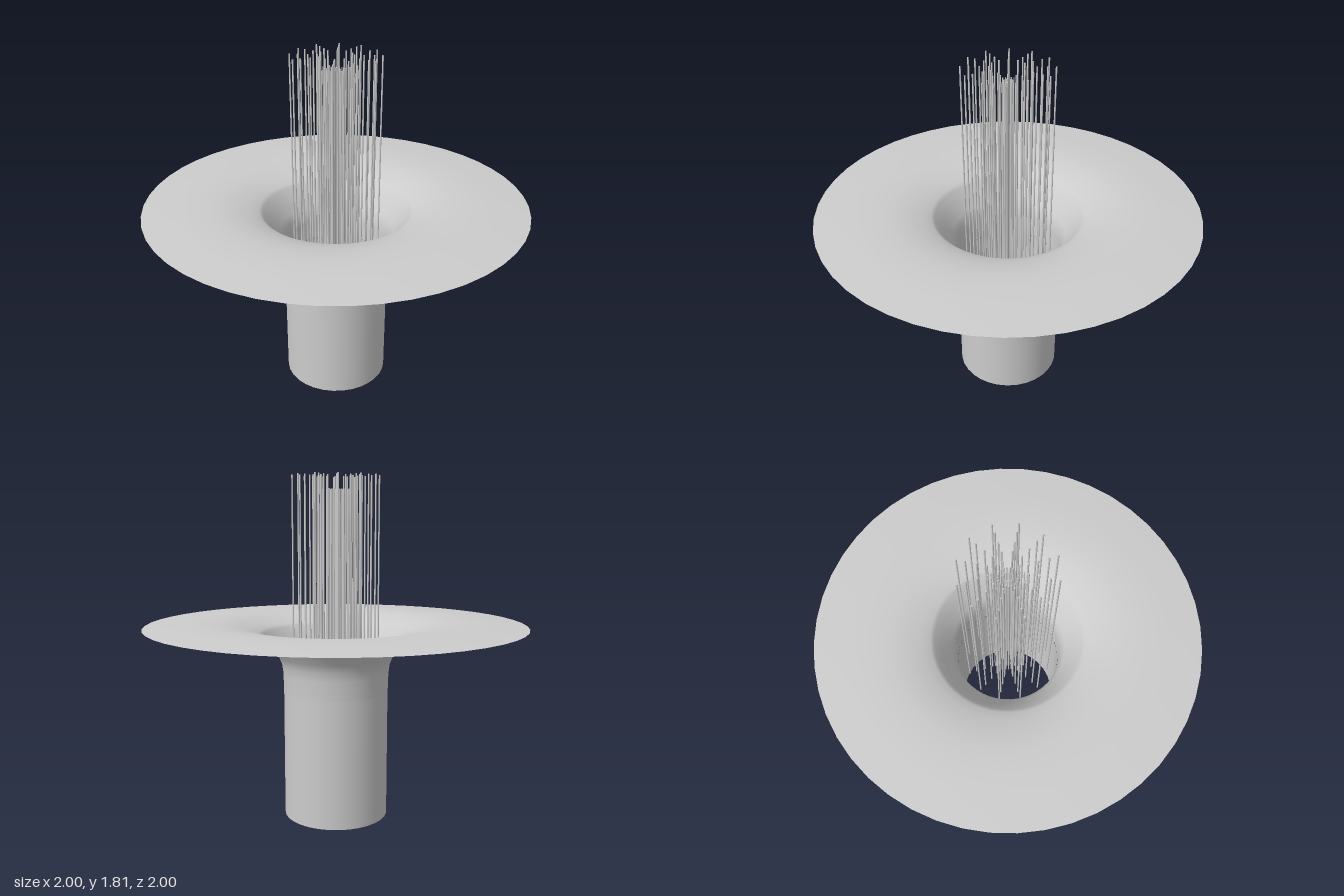
import * as THREE from 'three';

export function createModel() {
  const model = new THREE.Group();
  const shell = new THREE.MeshStandardMaterial({ color: 0xcccccc, side: THREE.DoubleSide });
  shell.name = 'light grey';

  // Open tube below the flare
  const tube = new THREE.Mesh(new THREE.CylinderGeometry(0.278, 0.278, 0.68, 32, 1, true), shell);
  tube.name = 'tube';
  tube.position.y = 0.34;
  model.add(tube);

  // Trumpet-shaped flare running out into the wide, slightly drooping rim
  const profile = [
    [0.278, 0.68], [0.281, 0.78], [0.288, 0.83], [0.305, 0.87], [0.35, 0.935], [0.385, 0.985],
    [0.405, 1.0], [0.45, 1.017], [0.52, 1.039], [0.6, 1.05], [0.7, 1.055], [0.82, 1.051], [1, 1.037],
  ].map(([r, y]) => new THREE.Vector2(r, y));
  const flare = new THREE.Mesh(new THREE.LatheGeometry(profile, 48), shell);
  flare.name = 'flaredRim';
  model.add(flare);

  // Concentric rings of thin upright rods: ring radius, count, rod radius, top height
  const bottom = 0.6;
  const rings = [
    [0.225, 12, 0.004, 1.81], [0.185, 12, 0.004, 1.81], [0.135, 12, 0.004, 1.81],
    [0.09, 12, 0.004, 1.81], [0.075, 12, 0.003, 1.74], [0.045, 20, 0.003, 1.74],
    [0.022, 12, 0.003, 1.74],
  ];
  rings.forEach(([ring, count, radius, top], i) => {
    const group = new THREE.Group();
    group.name = 'rodRing' + (i + 1);
    const geometry = new THREE.CylinderGeometry(radius, radius, top - bottom, 8);
    for (let k = 0; k < count; k++) {
      const a = (k / count) * Math.PI * 2;
      const rod = new THREE.Mesh(geometry, shell);
      rod.name = 'rod';
      rod.position.set(Math.sin(a) * ring, (top + bottom) / 2, Math.cos(a) * ring);
      group.add(rod);
    }
    model.add(group);
  });
  return model;
}
